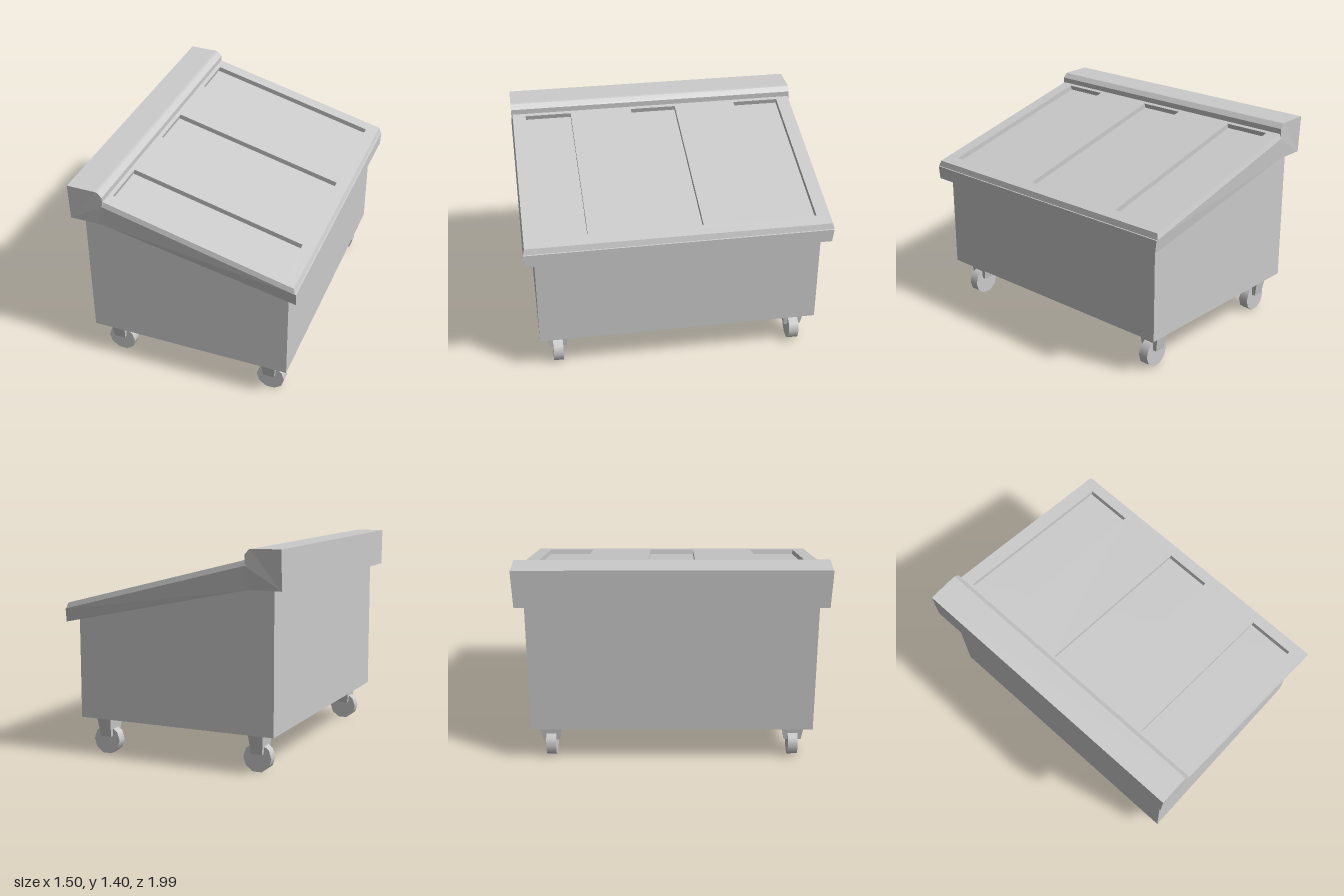
import * as THREE from 'three';

const flat = new THREE.MeshStandardMaterial({ color: 0xcccccc, flatShading: true });
const smooth = new THREE.MeshStandardMaterial({ color: 0xcccccc });

function part(name, geometry, material = flat) {
  const mesh = new THREE.Mesh(geometry, material);
  mesh.name = name;
  return mesh;
}

// Side profile in x,y extruded symmetrically along z
function slab(points, halfWidth) {
  const shape = new THREE.Shape(points.map(([x, y]) => new THREE.Vector2(x, y)));
  return new THREE.ExtrudeGeometry(shape, { depth: halfWidth * 2, bevelEnabled: false })
    .translate(0, 0, -halfWidth);
}

function reshape(geometry, rule) {
  const pos = geometry.attributes.position;
  const v = new THREE.Vector3();
  for (let i = 0; i < pos.count; i++) {
    rule(v.fromBufferAttribute(pos, i));
    pos.setXYZ(i, v.x, v.y, v.z);
  }
  geometry.computeVertexNormals();
  return geometry;
}

function rect(Type, x0, x1, y0, y1) {
  return new Type([[x0, y0], [x1, y0], [x1, y1], [x0, y1]].map(([x, y]) => new THREE.Vector2(x, y)));
}

// Sloped cover plate with three sunken windows, its outer top edge chamfered
function coverPlate(length, halfWidth, thickness) {
  const shape = rect(THREE.Shape, 0, length, -halfWidth, halfWidth);
  for (const z of [-0.74, 0, 0.74]) {
    shape.holes.push(rect(THREE.Path, 0.026, 1.203, z - 0.157, z + 0.157));
  }
  const geometry = new THREE.ExtrudeGeometry(shape, { depth: thickness, bevelEnabled: false });
  reshape(geometry, (v) => {
    if (v.z < thickness / 2) return;
    if (Math.abs(v.y) > halfWidth - 0.01) v.y -= Math.sign(v.y) * 0.01;
    if (v.x > length - 0.01) v.x -= 0.02;
  });
  return geometry.rotateX(-Math.PI / 2).translate(0, -thickness, 0);
}

function caster(x, z) {
  const group = new THREE.Group();
  group.name = 'caster';
  // Tapered bracket
  const bracket = new THREE.BoxGeometry(0.103, 0.135, 0.158);
  reshape(bracket, (v) => {
    if (v.y < 0) { v.x *= 0.73; v.z *= 0.72; }
  });
  bracket.translate(0, 0.185, 0);
  // Ten-sided wheel
  const wheel = new THREE.CylinderGeometry(0.095, 0.095, 0.066, 10, 1, false, Math.PI / 2)
    .rotateX(Math.PI / 2).translate(0.005, 0.0905, 0);
  group.add(part('casterBracket', bracket), part('casterWheel', wheel, smooth));
  group.position.set(x, 0, z);
  return group;
}

export function createModel() {
  const model = new THREE.Group();
  model.name = 'wheeledBin';

  // Box body, its top hidden in the lid
  model.add(part('body', slab([
    [-0.68, 0.25], [0.68, 0.25], [0.68, 0.94], [-0.5, 1.2], [-0.68, 1.2],
  ], 0.93)));

  // Lid with raised rear ridge, slightly narrower at its lower edge
  const depth = 0.033;
  const lid = slab([
    [-0.75, 1.152], [-0.56, 1.152], [-0.5, 1.145], [0.745, 0.885], [0.745, 0.971],
    [-0.515, 1.296], [-0.515, 1.365], [-0.545, 1.395], [-0.56, 1.398], [-0.75, 1.4],
  ], 0.995);
  reshape(lid, (v) => {
    if (v.y < 0.95 || (v.x < 0 && v.y < 1.2)) v.z -= Math.sign(v.z) * 0.01;
  });
  model.add(part('lid', lid));

  // Cover laid along the lid slope
  const cover = part('lidCover', coverPlate(1.303, 0.997, depth));
  cover.position.set(-0.515, 1.33, 0);
  cover.rotation.z = -Math.atan(0.325 / 1.26);
  model.add(cover);

  for (const x of [-0.54, 0.54]) {
    for (const z of [-0.81, 0.81]) model.add(caster(x, z));
  }
  return model;
}
